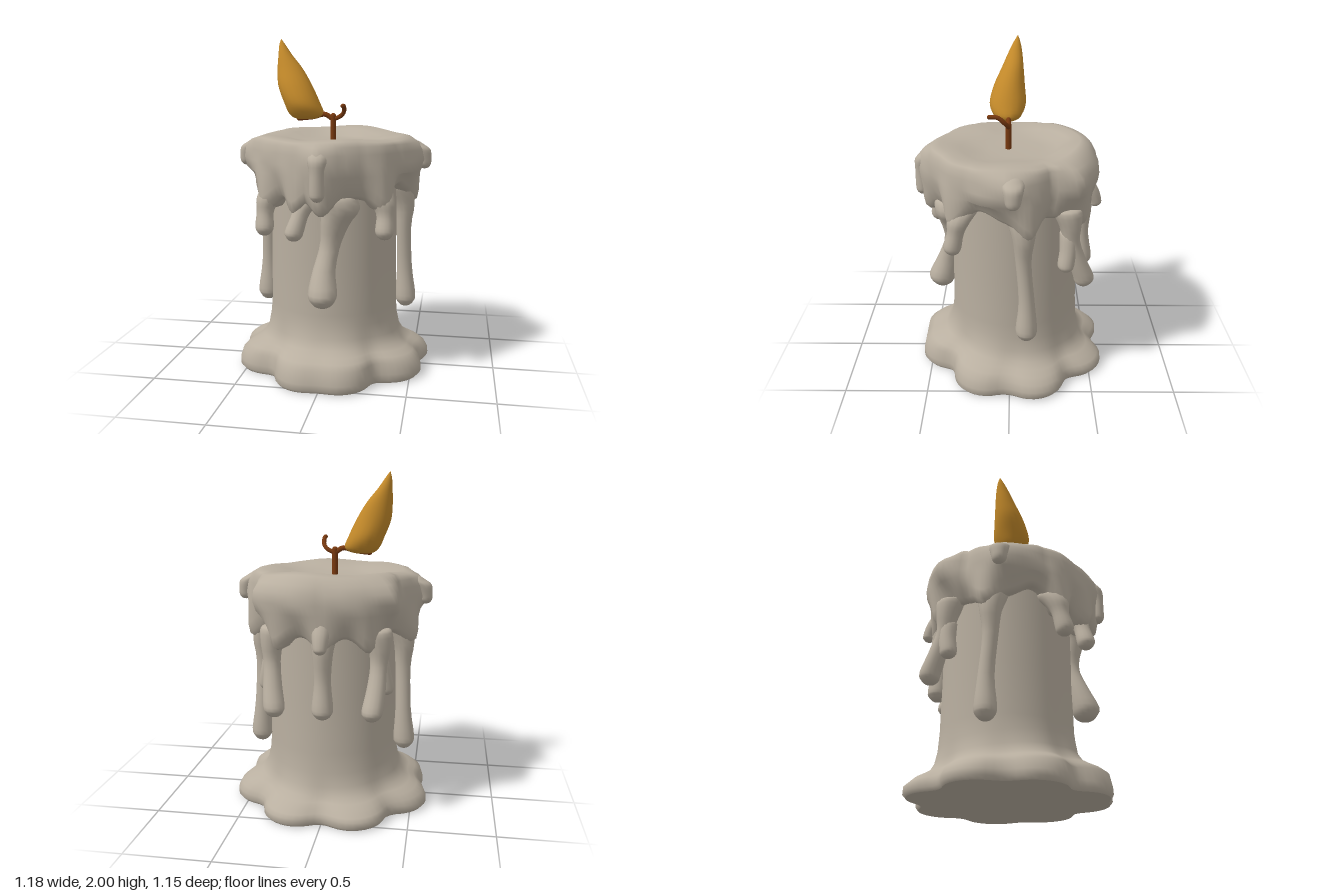
import * as THREE from 'three';

const wax = new THREE.MeshStandardMaterial({ name: 'wax', color: 0xb9afa0 });
const flameGold = new THREE.MeshStandardMaterial({ name: 'flameGold', color: 0xc48a2a });
const wickBrown = new THREE.MeshStandardMaterial({ name: 'wickBrown', color: 0x7a3a10 });

// Closed rings stacked from bottom to top; fn(row, angle) gives [x, y, z], angle 0 is the front
function ringSurface(rows, cols, fn) {
  const pos = [], idx = [];
  for (let i = 0; i < rows; i++) {
    for (let j = 0; j < cols; j++) {
      pos.push(...fn(i, (j / cols) * Math.PI * 2));
      if (i === rows - 1) continue;
      const a = i * cols + j, b = i * cols + (j + 1) % cols;
      idx.push(a, b, a + cols, b, b + cols, a + cols);
    }
  }
  const g = new THREE.BufferGeometry();
  g.setAttribute('position', new THREE.Float32BufferAttribute(pos, 3));
  g.setIndex(idx);
  g.computeVertexNormals();
  return g;
}

// Smooth stack of ellipses from [x, y, z, rx, rz] sections, bottom to top
function stack(sections, rows, cols) {
  const centre = new THREE.CatmullRomCurve3(sections.map(s => new THREE.Vector3(s[0], s[1], s[2])), false, 'catmullrom', 0.5);
  const size = new THREE.CatmullRomCurve3(sections.map(s => new THREE.Vector3(s[3], s[4] ?? s[3], 0)), false, 'catmullrom', 0.5);
  return ringSurface(rows, cols, (i, a) => {
    const c = centre.getPoint(i / (rows - 1)), r = size.getPoint(i / (rows - 1));
    return [c.x + Math.max(r.x, 0) * Math.sin(a), c.y, c.z + Math.max(r.y, 0) * Math.cos(a)];
  });
}

function add(parent, name, geometry, material) {
  const m = new THREE.Mesh(geometry, material);
  m.name = name;
  parent.add(m);
}

// Drip of wax: [x, y, z, r] from the lowest point up, with both ends rounded
function drip(parent, name, pts) {
  const [tip, bulb] = pts, top = pts[pts.length - 1], h = bulb[1] - tip[1], r = bulb[3];
  const end = [[0, 0], [0.12, 0.48], [0.45, 0.84]].map(([t, k]) =>
    [tip[0] + (bulb[0] - tip[0]) * t, tip[1] + h * t, tip[2] + (bulb[2] - tip[2]) * t, r * k]);
  const crown = [[0.02, 0.7], [0.03, 0]].map(([dy, k]) => [top[0] * 0.97, top[1] + dy, top[2] * 0.97, top[3] * k]);
  add(parent, name, stack([...end, ...pts.slice(1), ...crown], 28, 14), wax);
}

// Outline of the melted foot: softened union of round puddles [x, z, radius]
const puddles = [];
for (const s of [-1, 1]) puddles.push([s * 0.09, 0.365, 0.2], [s * 0.36, 0.14, 0.205], [s * 0.4, -0.14, 0.195], [s * 0.165, -0.38, 0.205]);
function puddleEdge(a) {
  let best = 0.42;
  for (const [x, z, r] of puddles) {
    const d = x * Math.sin(a) + z * Math.cos(a), q = r * r - x * x - z * z + d * d;
    if (q > 0) best = Math.max(best, d + Math.sqrt(q));
  }
  return best;
}
const footRadius = a => [-0.1, -0.05, 0, 0.05, 0.1].reduce((sum, d) => sum + puddleEdge(a + d) / 5, 0);

// Cap outline every 15 degrees from front to back, mirrored across x
const capOutline = [0.56, 0.5, 0.48, 0.49, 0.485, 0.52, 0.56, 0.51, 0.475, 0.575, 0.55, 0.54, 0.52];
function capRadius(a) {
  const t = Math.min(a, Math.PI * 2 - a) / (Math.PI / 12), i = Math.min(Math.floor(t), 11);
  return capOutline[i] + (capOutline[i + 1] - capOutline[i]) * (t - i);
}

// Drips mirrored on both sides
const pairedDrips = {
  longSideDrip: [[0.445, 0.34, -0.1], [0.445, 0.42, -0.1, 0.064], [0.437, 0.6, -0.1, 0.047], [0.43, 0.85, -0.08, 0.046], [0.43, 1.0, -0.08, 0.065], [0.39, 1.12, -0.07, 0.09]],
  frontCornerDrip: [[0.35, 0.86, 0.33], [0.35, 0.92, 0.33, 0.054], [0.35, 1.0, 0.31, 0.05], [0.335, 1.07, 0.29, 0.07], [0.3, 1.13, 0.26, 0.085]],
  sideTip: [[0.552, 1.23, -0.02], [0.545, 1.29, -0.02, 0.048], [0.525, 1.345, -0.02, 0.06], [0.485, 1.375, -0.02, 0.06]],
  backCornerDrip: [[0.28, 0.62, -0.44], [0.285, 0.69, -0.44, 0.062], [0.3, 0.8, -0.4, 0.055], [0.31, 0.93, -0.36, 0.05], [0.31, 1.03, -0.35, 0.065], [0.29, 1.12, -0.33, 0.09]],
  backCornerKnob: [[0.35, 0.75, -0.33], [0.345, 0.8, -0.33, 0.05], [0.33, 0.88, -0.34, 0.05], [0.31, 0.97, -0.34, 0.05]],
};
const singleDrips = {
  largeFrontDrip: [[0.01, 0.47, 0.43], [0.01, 0.56, 0.43, 0.084], [0.012, 0.68, 0.39, 0.066], [0.04, 0.82, 0.345, 0.06], [0.07, 0.95, 0.34, 0.085], [0.1, 1.03, 0.34, 0.11], [0.08, 1.1, 0.34, 0.11]],
  slantedFrontDrip: [[-0.15, 0.86, 0.45], [-0.145, 0.92, 0.45, 0.054], [-0.115, 1.01, 0.43, 0.05], [-0.08, 1.08, 0.4, 0.07], [-0.06, 1.13, 0.37, 0.08]],
  smallFrontDrip: [[0, 1.1, 0.53], [0, 1.15, 0.53, 0.042], [0, 1.26, 0.53, 0.042], [0, 1.33, 0.51, 0.058], [0, 1.38, 0.46, 0.055]],
  backCentreDrip: [[0, 0.62, -0.45], [0, 0.69, -0.45, 0.062], [0, 0.85, -0.44, 0.048], [0, 1.02, -0.44, 0.062], [0, 1.12, -0.4, 0.085]],
  backNub: [[0, 1.02, -0.52], [0, 1.06, -0.52, 0.04], [0, 1.13, -0.49, 0.05], [0, 1.2, -0.45, 0.05]],
};
const dripAngles = [];
for (const [name, p] of Object.entries(pairedDrips)) {
  if (p[0][1] < 1 && name !== 'backCornerKnob') for (const s of [-1, 1]) dripAngles.push(Math.atan2(s * p[0][0], p[0][2]));
}
for (const p of Object.values(singleDrips)) if (p[0][1] < 1) dripAngles.push(Math.atan2(p[0][0], p[0][2]));

// How strongly the cap sags and swells towards the nearest drip, 0 to 1
function capSag(a) {
  let sag = 0;
  for (const d of dripAngles) {
    const t = Math.atan2(Math.sin(a - d), Math.cos(a - d));
    sag = Math.max(sag, Math.exp(-t * t / 0.022));
  }
  return sag;
}

export function createModel() {
  const candle = new THREE.Group();
  candle.name = 'candle';

  // Shaft with its puddled foot: [share of foot outline, y]
  const foot = [[0, 0], [0.97, 0], [0.97, 0], [1, 0.02], [0.99, 0.055], [0.9, 0.09], [0.72, 0.12], [0.5, 0.142], [0.28, 0.168], [0.12, 0.22], [0.04, 0.3], [0, 0.4], [-0.02, 0.7], [-0.02, 1.0], [-0.02, 1.2]];
  add(candle, 'shaftAndFoot', ringSurface(foot.length, 96, (i, a) => {
    const [k, y] = foot[i], shaft = 0.39, lobe = footRadius(a);
    const r = i === 0 ? 0 : i < 3 ? lobe * k : shaft + (lobe - shaft) * k;
    const lift = i > 4 && i < 11 ? 0.01 + 0.03 * Math.cos(a) : 0;
    const shift = i < 6 ? 0 : -0.03 * Math.min(1, (i - 5) / 4);
    return [r * Math.sin(a), y + lift, r * Math.cos(a) + shift];
  }), wax);

  // Melted cap: skirt, drooping rounded rim and shallow bowl
  add(candle, 'meltedCap', ringSurface(14, 120, (i, a) => {
    const R = capRadius(a), sag = capSag(a), side = (Math.min(a, Math.PI * 2 - a) - 1.2) / 0.22;
    const e = 1.095 - 0.085 * sag + 0.06 * Math.exp(-side * side);
    const low = Math.min(R, 0.51) + 0.01 * Math.sin(a * 7 + 2), mid = low * 0.4 + R * 0.6 + 0.008 * Math.sin(a * 11);
    const back = Math.max(-Math.cos(a), 0), ridge = Math.min(R, 0.5);
    const top = 1.43 + 0.025 * back * back + 0.006 * Math.sin(a * 5);
    const bowl = 0.31 + 0.02 * Math.sin(a * 2 + 0.5);
    const [r, y] = [
      [0.34, e + 0.02], [low * 0.86 + 0.04 * sag, e], [low * 0.92 + 0.04 * sag, e + 0.025], [low * 0.96 + 0.03 * sag, e + 0.08],
      [mid, 1.23], [R, 1.29], [R * 0.985, 1.35], [R * 0.5 + ridge * 0.47, 1.395], [ridge * 0.93, top - 0.012],
      [ridge * 0.83, top], [bowl, top - 0.018], [bowl * 0.78, 1.398], [bowl * 0.5, 1.39], [0, 1.39],
    ][i];
    return [r * Math.sin(a), y, r * Math.cos(a) - (i > 9 ? 0.03 : 0)];
  }), wax);

  // Running drips
  for (const [name, pts] of Object.entries(pairedDrips)) {
    drip(candle, name + 'Left', pts);
    drip(candle, name + 'Right', pts.map(([x, ...rest]) => [-x, ...rest]));
  }
  for (const [name, pts] of Object.entries(singleDrips)) drip(candle, name, pts);

  // Forked wick: stem, curled twig, and twig under the flame
  const twigs = {
    wickStem: [0.018, [0, 1.37, 0.01], [0, 1.45, 0.01], [0, 1.54, 0.01]],
    wickCurl: [0.013, [0, 1.52, 0.01], [0.045, 1.54, 0.012], [0.068, 1.565, 0.03], [0.074, 1.6, 0.07], [0.075, 1.605, 0.12]],
    wickFlameTwig: [0.015, [0, 1.52, 0.01], [-0.05, 1.55, 0.01], [-0.12, 1.535, 0.01], [-0.21, 1.525, 0.01]],
  };
  for (const [name, [r, ...pts]] of Object.entries(twigs)) {
    const path = new THREE.CatmullRomCurve3(pts.map(p => new THREE.Vector3(...p)));
    add(candle, name, new THREE.TubeGeometry(path, 14, r, 8), wickBrown);
    const knob = new THREE.SphereGeometry(r, 8, 6);
    knob.translate(...pts[pts.length - 1]);
    add(candle, name + 'End', knob, wickBrown);
  }

  // Leaning flame
  add(candle, 'flame', stack([
    [-0.17, 1.52, 0.01, 0, 0], [-0.166, 1.525, 0.012, 0.065, 0.05], [-0.164, 1.555, 0.015, 0.105, 0.087], [-0.19, 1.62, 0.015, 0.108, 0.11],
    [-0.233, 1.72, 0.005, 0.103, 0.093], [-0.268, 1.82, -0.015, 0.077, 0.065], [-0.3, 1.9, -0.03, 0.043, 0.042],
    [-0.32, 1.96, -0.04, 0.02, 0.02], [-0.33, 2.0, -0.045, 0, 0],
  ], 33, 18), flameGold);

  return candle;
}
